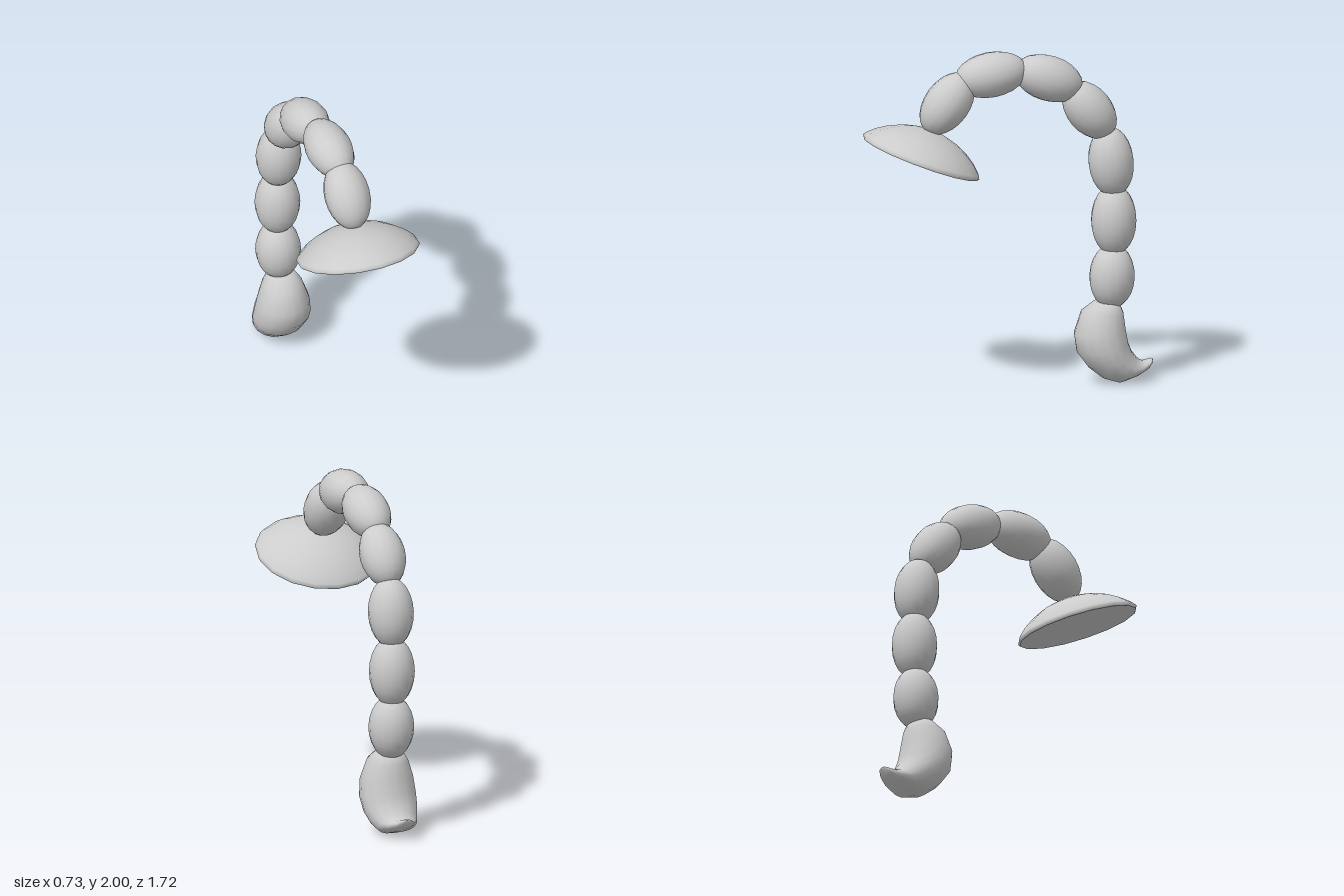
import * as THREE from 'three';

const SIDES = 16;

// Closed tube of elliptical sections: [outerZ, outerY, innerZ, innerY, halfWidth]
function sweepSections(sections) {
  const pos = [], idx = [];
  sections.forEach(([oz, oy, iz, iy, w], i) => {
    const mz = (oz + iz) / 2, my = (oy + iy) / 2;
    for (let j = 0; j < SIDES; j++) {
      const t = (j / SIDES) * Math.PI * 2, c = Math.cos(t);
      pos.push(w * Math.sin(t), my + (oy - my) * c, mz + (oz - mz) * c);
      if (i < sections.length - 1) {
        const a = i * SIDES + j, b = i * SIDES + ((j + 1) % SIDES);
        idx.push(a, a + SIDES, b, b, a + SIDES, b + SIDES);
      }
    }
  });
  const g = new THREE.BufferGeometry();
  g.setAttribute('position', new THREE.Float32BufferAttribute(pos, 3));
  g.setIndex(idx);
  g.computeVertexNormals();
  return g;
}

export function createModel() {
  const group = new THREE.Group();
  const grey = new THREE.MeshStandardMaterial({ color: 0xcccccc });
  grey.name = 'light grey';

  const add = (parent, name, geometry) => {
    const mesh = new THREE.Mesh(geometry, grey);
    mesh.name = name;
    parent.add(mesh);
    return mesh;
  };

  // Curled base that tapers to a small upturned hook at the back
  add(group, 'hookedBase', sweepSections([
    [-0.585, 0.48, -0.585, 0.48, 0],
    [-0.51, 0.485, -0.66, 0.472, 0.08],
    [-0.435, 0.43, -0.684, 0.413, 0.12],
    [-0.392, 0.297, -0.694, 0.334, 0.155],
    [-0.408, 0.19, -0.71, 0.24, 0.167],
    [-0.477, 0.095, -0.73, 0.185, 0.16],
    [-0.562, 0.027, -0.758, 0.148, 0.14],
    [-0.647, 0.0, -0.779, 0.127, 0.12],
    [-0.752, 0.032, -0.805, 0.117, 0.088],
    [-0.827, 0.069, -0.832, 0.125, 0.055],
    [-0.856, 0.105, -0.85, 0.13, 0.03],
    [-0.86, 0.125, -0.86, 0.125, 0],
  ]));

  // Arching neck of overlapping beads: [z, y, tilt, halfLength]
  const beads = [
    [-0.617, 0.63, -0.04, 0.19],
    [-0.627, 0.965, 0, 0.208],
    [-0.611, 1.313, 0.1, 0.208],
    [-0.482, 1.627, 0.68, 0.197],
    [-0.238, 1.828, 1.22, 0.21],
    [0.105, 1.867, 1.72, 0.215],
    [0.366, 1.71, 2.49, 0.203],
  ];
  const neck = new THREE.Group();
  neck.name = 'neck';
  group.add(neck);
  const beadGeometry = new THREE.SphereGeometry(1, SIDES, 12);
  beads.forEach(([z, y, tilt, half], i) => {
    const bead = add(neck, `neckBead${i + 1}`, beadGeometry);
    bead.position.set(0, y, z);
    bead.rotation.x = tilt;
    bead.scale.set(0.133, half, 0.133);
  });

  // Domed shade with a flat underside
  const shade = new THREE.Group();
  shade.name = 'shade';
  shade.position.set(0, 1.39, 0.525);
  shade.rotation.x = -0.365;
  group.add(shade);
  const profile = [
    [0.355, 0], [0.363, 0.012], [0.353, 0.03], [0.31, 0.07], [0.25, 0.11],
    [0.18, 0.144], [0.1, 0.167], [0.04, 0.174], [0, 0.175],
  ].map(([r, y]) => new THREE.Vector2(r, y));
  add(shade, 'shadeDome', new THREE.LatheGeometry(profile, SIDES));
  add(shade, 'shadeUnderside', new THREE.CircleGeometry(0.355, SIDES).rotateX(Math.PI / 2));

  return group;
}
